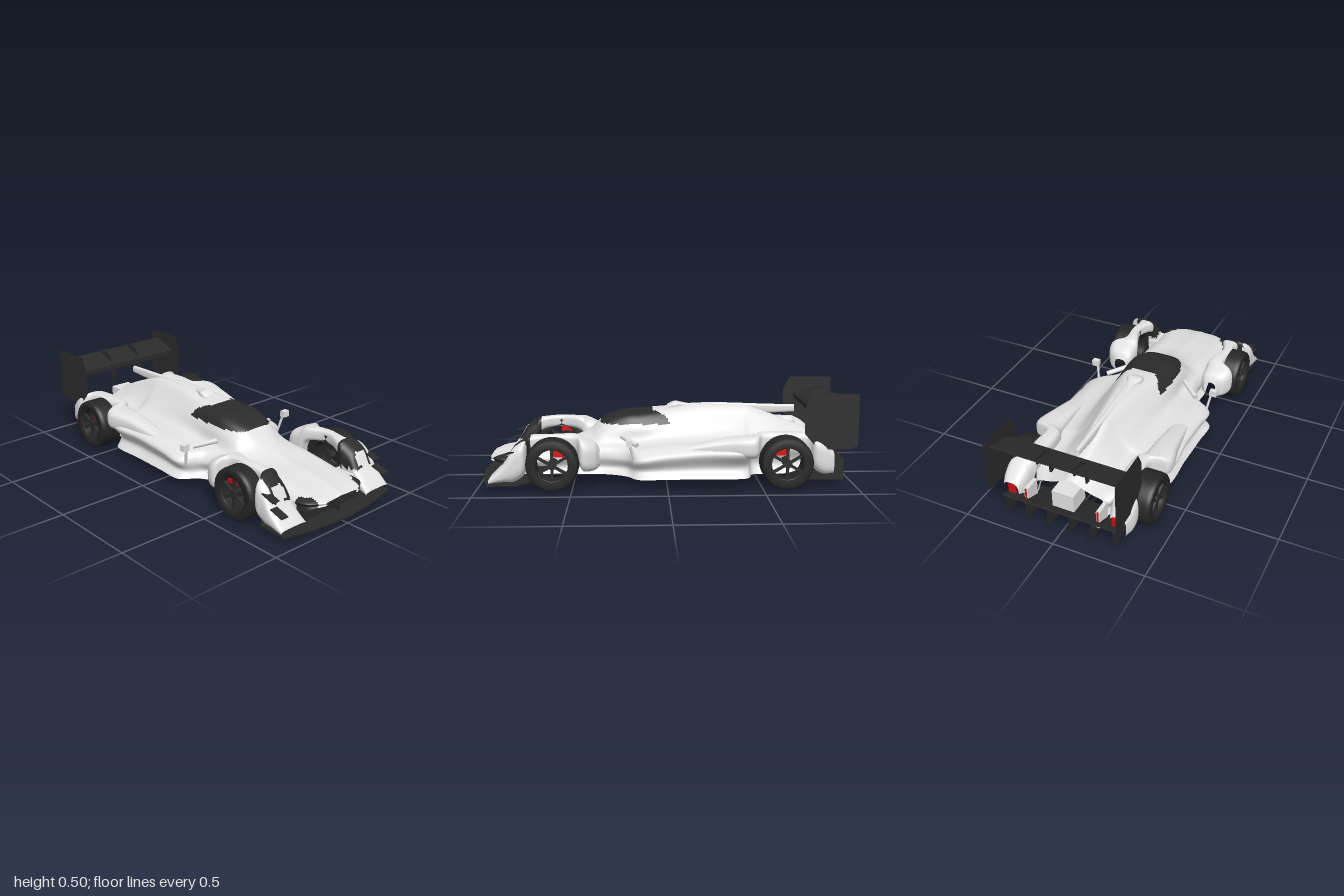
import * as THREE from 'three';

const mat = (name, color, side = THREE.FrontSide) => {
  const m = new THREE.MeshStandardMaterial({ color, side });
  m.name = name;
  return m;
};

export function createModel() {
  const car = new THREE.Group();
  car.name = 'raceCar';
  const white = mat('bodyWhite', 0xe2e2e2);
  const black = mat('carbonBlack', 0x2b2b2b, THREE.DoubleSide);
  const tyreBlack = mat('tyreBlack', 0x262626);
  const red = mat('signalRed', 0xd80808);
  const V = (x, y, z) => new THREE.Vector3(x, y, z);

  const add = (name, geo, m, x = 0, y = 0, z = 0, parent = car) => {
    const mesh = new THREE.Mesh(geo, m);
    mesh.name = name;
    mesh.position.set(x, y, z);
    parent.add(mesh);
    return mesh;
  };
  const box = (name, m, w, h, d, x, y, z, parent) => add(name, new THREE.BoxGeometry(w, h, d), m, x, y, z, parent);
  const rod = (name, m, a, b, r) => {
    const mesh = add(name, new THREE.CylinderGeometry(r, r, a.distanceTo(b), 8), m);
    mesh.position.copy(a).add(b).multiplyScalar(0.5);
    mesh.quaternion.setFromUnitVectors(V(0, 1, 0), b.clone().sub(a).normalize());
  };
  // flat vertical sheet from an outline in x and y
  const sheet = (name, pts, z) =>
    add(name, new THREE.ShapeGeometry(new THREE.Shape(pts.map(p => new THREE.Vector2(...p)))), black, 0, 0, z);

  // skin over a row of rings, each running from +z over the top to -z
  const loft = (name, rings, isBlack = () => false) => {
    const n = rings[0].length, pos = [], light = [], dark = [];
    rings.forEach(r => r.forEach(p => pos.push(p.x, p.y, p.z)));
    for (let i = 0; i < rings.length - 1; i++) for (let j = 0; j < n - 1; j++) {
      const a = i * n + j, b = a + n;
      const mid = rings[i][j].clone().add(rings[i + 1][j + 1]).multiplyScalar(0.5);
      (isBlack(mid) ? dark : light).push(a, b, b + 1, a, b + 1, a + 1);
    }
    [rings[0], rings[rings.length - 1]].forEach((ring, end) => {
      const o = pos.length / 3, c = V(0, 0, 0);
      ring.forEach(p => { pos.push(p.x, p.y, p.z); c.add(p); });
      c.divideScalar(n);
      pos.push(c.x, c.y, c.z);
      for (let j = 0; j < n; j++) {
        const k = (j + 1) % n;
        light.push(o + n, end ? o + j : o + k, end ? o + k : o + j);
      }
    });
    const g = new THREE.BufferGeometry();
    g.setAttribute('position', new THREE.Float32BufferAttribute(pos, 3));
    g.setIndex([...light, ...dark]);
    g.addGroup(0, light.length, 0);
    g.addGroup(light.length, dark.length, 1);
    g.computeVertexNormals();
    add(name, g, [white, black]);
  };

  // half section from sill to crown; the undercut, shoulder and flank follow by rule
  const section = ([x, sillZ, sillY, sideZ, sideY, valleyZ, valleyY, crownZ, crownY]) => {
    const edgeY = crownY - crownZ * 0.1;
    return [
      V(x, sillY, sillZ),
      V(x, sillY + (sideY - sillY) * 0.4, Math.min(sillZ, sideZ) * 0.92),
      V(x, sideY, sideZ),
      V(x, sideY + (valleyY - sideY) * 0.6, valleyZ + (sideZ - valleyZ) * 0.7),
      V(x, valleyY, valleyZ),
      V(x, valleyY + (edgeY - valleyY) * 0.53, crownZ + (valleyZ - crownZ) * (0.35 + 2.5 * crownZ)),
      V(x, edgeY, crownZ),
      V(x, crownY, 0)
    ];
  };
  // x, sill z y, side z y, valley z y, crown z y
  const stations = [
    [-0.80, .20, .10, .20, .17, .12, .205, .02, .25],
    [-0.65, .26, .06, .27, .20, .15, .225, .025, .315],
    [-0.46, .27, .055, .28, .20, .165, .235, .03, .385],
    [-0.42, .36, .055, .38, .19, .18, .24, .03, .39],
    [-0.20, .37, .055, .375, .185, .19, .24, .05, .398],
    [0.00, .375, .055, .375, .17, .19, .235, .085, .38],
    [0.15, .375, .055, .37, .15, .185, .22, .115, .366],
    [0.22, .29, .055, .27, .14, .183, .22, .115, .362],
    [0.34, .235, .055, .225, .14, .18, .215, .09, .325],
    [0.42, .235, .055, .225, .14, .18, .20, .06, .26],
    [0.55, .215, .055, .22, .14, .16, .195, .05, .208],
    [0.75, .21, .055, .215, .12, .15, .17, .05, .181],
    [0.90, .20, .10, .20, .13, .13, .148, .05, .156],
    [0.955, .12, .115, .115, .125, .09, .133, .03, .138]
  ].map(section);
  const tracks = stations[0].map((_, k) => new THREE.CatmullRomCurve3(stations.map(s => s[k])));
  const hull = [], ROWS = (stations.length - 1) * 18, SEG = 98;
  for (let i = 0; i <= ROWS; i++) {
    const half = tracks.map(t => t.getPoint(i / ROWS));
    const whole = [...half, ...half.slice(0, 7).reverse().map(p => V(p.x, p.y, -p.z))];
    hull.push(new THREE.CatmullRomCurve3(whole).getPoints(SEG));
  }
  // dark canopy with swept-back corners, and dark lower nose edges
  const canopy = p => p.y > 0.308 && p.x < 0.36 && p.x > 0.07 - Math.max(0, Math.abs(p.z) - 0.07) * 1.4;
  const noseEdge = p => p.x > 0.84 && p.y < 0.148 && Math.abs(p.z) > 0.15;
  loft('body', hull, p => canopy(p) || noseEdge(p));

  // flat floor closing the hull
  const fp = [], fi = [];
  hull.forEach((r, i) => {
    fp.push(...r[0].toArray(), ...r[SEG].toArray());
    if (i) fi.push(2 * i - 2, 2 * i - 1, 2 * i, 2 * i - 1, 2 * i + 1, 2 * i);
  });
  const floorGeo = new THREE.BufferGeometry();
  floorGeo.setAttribute('position', new THREE.Float32BufferAttribute(fp, 3));
  floorGeo.setIndex(fi);
  floorGeo.computeVertexNormals();
  add('floor', floorGeo, white);

  // rounded pods: rows of x, centre z, half width, bottom, top
  const pod = (name, rows, side, isBlack) => {
    const c = new THREE.CatmullRomCurve3(rows.map(r => V(r[0], r[3], r[4])));
    const w = new THREE.CatmullRomCurve3(rows.map(r => V(r[0], r[1], r[2])));
    const rings = [], N = (rows.length - 1) * 8;
    const sq = v => Math.sign(v) * Math.pow(Math.abs(v), 0.65);
    for (let i = 0; i <= N; i++) {
      const a = c.getPoint(i / N), b = w.getPoint(i / N), ring = [];
      for (let j = 0; j <= 40; j++) {
        const t = j / 40 * Math.PI * 2;
        ring.push(V(a.x, (a.y + a.z) / 2 + sq(Math.sin(t)) * (a.z - a.y) / 2, side * b.y + sq(Math.cos(t)) * b.z));
      }
      rings.push(ring);
    }
    loft(name, rings, isBlack);
  };
  pod('airIntake', [[-.16, 0, .012, .37, .395], [-.10, 0, .025, .37, .405], [-.05, 0, .045, .365, .412], [-.01, 0, .035, .36, .395]], 1);
  pod('spine', [[-.72, 0, .012, .35, .39], [-.55, 0, .014, .345, .395], [-.3, 0, .018, .36, .404], [-.14, 0, .03, .37, .402]], 1);

  // wheel, with open spokes on its outer face
  const tyreGeo = new THREE.LatheGeometry([[.09, -.068], [.125, -.07], [.135, -.06], [.138, -.04], [.138, .04],
    [.135, .06], [.125, .07], [.09, .068], [.086, .05], [.086, -.05], [.09, -.068]].map(p => new THREE.Vector2(...p)), 40);
  const wheel = (name, x, s, calX) => {
    const g = new THREE.Group();
    g.name = name;
    g.position.set(x, 0.139, s * 0.34);
    car.add(g);
    add('tyre', tyreGeo, tyreBlack, 0, 0, 0, g).rotation.x = Math.PI / 2;
    add('rimRing', new THREE.TorusGeometry(.088, .005, 8, 36), black, 0, 0, s * .055, g);
    add('hub', new THREE.CylinderGeometry(.022, .022, .1, 16), black, 0, 0, s * .01, g).rotation.x = Math.PI / 2;
    for (let i = 0; i < 6; i++) {
      const a = i * Math.PI / 3 + Math.PI / 6;
      box('spoke', black, .075, .014, .014, Math.cos(a) * .05, Math.sin(a) * .05, s * .05, g).rotation.z = a;
    }
    box('brakeCaliper', red, .066, .036, .03, calX, .06, s * .026, g);
  };

  for (const s of [1, -1]) {
    wheel('frontWheel', 0.60, s, -.028);
    wheel('rearWheel', -0.625, s, .03);

    // fenders, the front ones with dark louvres around a light centre
    pod('rearFender', [[-.88, .30, .045, .07, .19], [-.82, .30, .065, .07, .245], [-.775, .295, .065, .10, .27],
      [-.745, .265, .045, .18, .28], [-.62, .26, .047, .2, .286], [-.50, .265, .045, .18, .284],
      [-.465, .315, .075, .16, .28], [-.3, .31, .06, .17, .262], [-.1, .30, .04, .17, .22]], s);
    pod('frontFender', [[.355, .29, .035, .12, .20], [.38, .30, .07, .1, .24], [.445, .31, .085, .1, .272],
      [.485, .28, .047, .2, .285], [.60, .297, .026, .22, .288], [.715, .28, .047, .2, .28],
      [.75, .31, .085, .08, .265], [.80, .315, .085, .045, .23], [.85, .315, .085, .045, .15], [.93, .31, .085, .04, .065]], s,
      p => p.x > .71 && p.y > .155 && Math.abs(p.z) < .355 &&
        !(p.x > .79 && p.y > .165 && p.y < .232 && Math.abs(Math.abs(p.z) - .30) < .03));
    for (let i = 0; i < 2; i++)
      box('divePlane', black, .08, .005, .045, .83 + i * .06, .20 - i * .06, s * .372).rotation.z = -.3;
    box('fenderBridge', white, .12, .07, .07, .78, .10, s * .23);

    // mirrors and their struts
    rod('bodyStrut', white, V(.16, .22, s * .28), V(.24, .25, s * .18), .014);
    box('mirror', white, .03, .035, .04, .20, .25, s * .37);
    rod('mirrorStalk', white, V(.17, .13, s * .34), V(.20, .25, s * .36), .007);

    // rear wing side plates, hangers and lights
    sheet('wingEndplate', [[-1, .5], [-.755, .502], [-.718, .43], [-.718, .29], [-.79, .205], [-.95, .205], [-1, .22]], s * .35);
    for (const t of [-.003, .003])
      sheet('wingHanger', [[-.93, .465], [-.87, .465], [-.79, .40], [-.785, .28], [-.815, .28], [-.83, .385], [-.93, .42]], s * .1 + t);
    box('wingHangerEdge', black, .06, .004, .006, -.90, .463, s * .1);
    box('tailLight', red, .008, .06, .04, -.882, .155, s * .29);
    box('lightStrip', red, .006, .06, .008, -.896, .17, s * .2);
    box('rearUpright', white, .09, .10, .02, -.85, .15, s * .2);
    for (const z of [.06, .18, .30])
      sheet('diffuserFin', [[-.94, .03], [-.62, .035], [-.72, .08], [-.92, .145], [-.94, .145]], s * z);
  }

  // rear wing blades
  box('wingMainPlane', black, .165, .008, .70, -.862, .425, 0).rotation.z = -.3;
  box('wingLowerBlade', black, .07, .02, .67, -.81, .39, 0);

  // diffuser and gearbox
  box('diffuserRamp', black, .24, .008, .64, -.82, .105, 0).rotation.z = -.38;
  box('gearbox', white, .12, .10, .12, -.82, .18, 0);

  // front grille and splitter
  box('frontGrille', black, .26, .065, .40, .77, .078, 0);
  box('noseStay', black, .05, .07, .012, .92, .085, 0);
  const sp = new THREE.Shape();
  sp.moveTo(.64, -.22);
  sp.lineTo(.78, -.385);
  sp.lineTo(.94, -.39);
  sp.quadraticCurveTo(.99, -.25, 1, 0);
  sp.quadraticCurveTo(.99, .25, .94, .39);
  sp.lineTo(.78, .385);
  sp.lineTo(.64, .22);
  const spGeo = new THREE.ExtrudeGeometry(sp, { depth: .01, bevelEnabled: false, curveSegments: 16 });
  add('splitter', spGeo.rotateX(Math.PI / 2), black, 0, .04, 0);
  return car;
}
